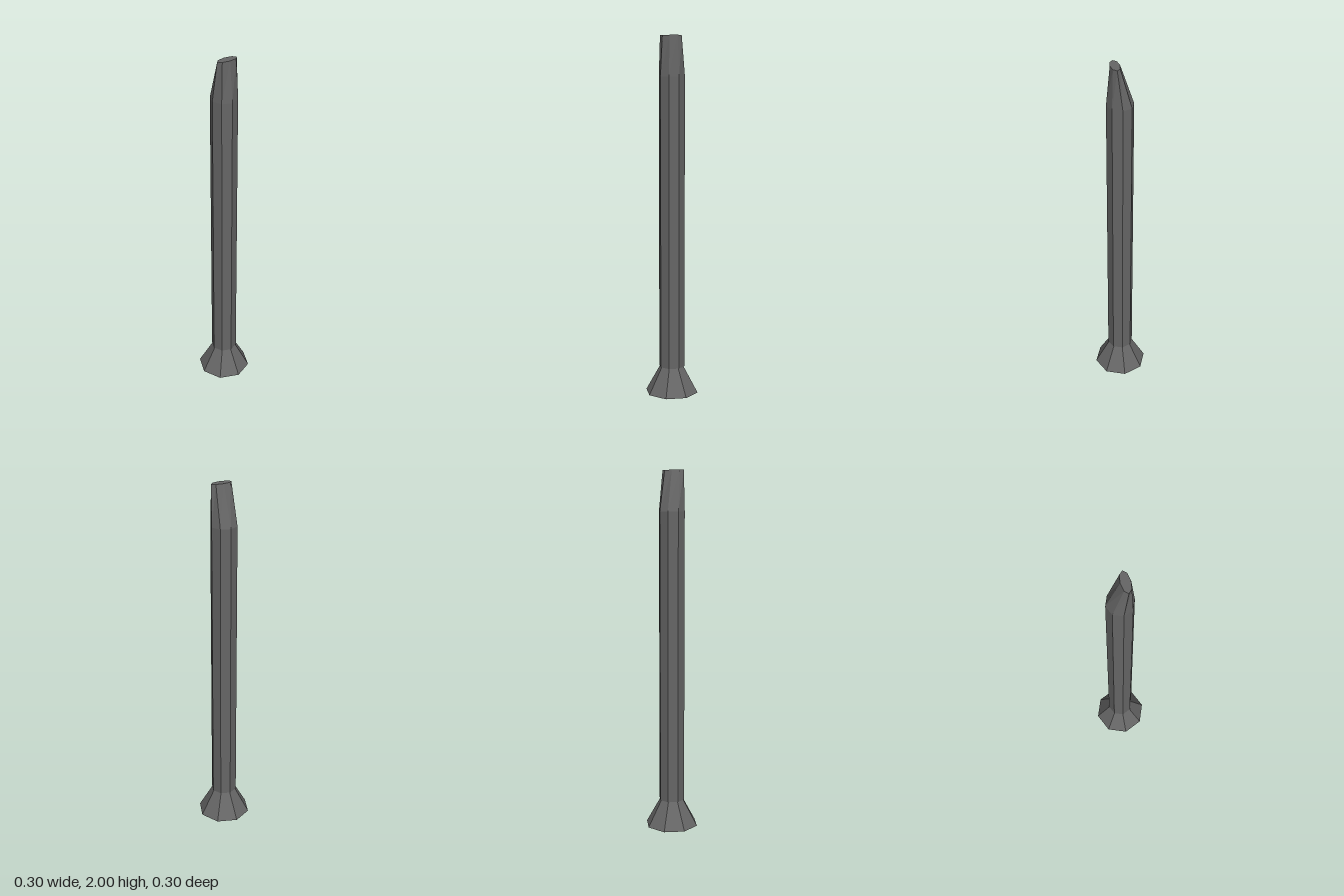
import * as THREE from 'three';

const SIDES = 8;

export function createModel() {
  const model = new THREE.Group();
  const steel = new THREE.MeshStandardMaterial({ color: 0x666666, flatShading: true });
  steel.name = 'dark grey steel';

  // Octagonal shaft: the top ring is squeezed and shifted forward into a chisel tip
  const bottom = 0.15, shoulder = 1.78, top = 2, radius = 0.073;
  const shaftGeo = new THREE.CylinderGeometry(radius, radius, 2, SIDES, 2);
  const pos = shaftGeo.attributes.position;
  for (let i = 0; i < pos.count; i++) {
    const row = Math.round(pos.getY(i)); // -1 bottom, 0 shoulder, 1 tip
    pos.setY(i, [bottom, shoulder, top][row + 1]);
    if (row === 1) {
      pos.setX(i, pos.getX(i) / radius * 0.06);
      pos.setZ(i, 0.026 + pos.getZ(i) / radius * 0.026);
    }
  }
  shaftGeo.computeVertexNormals();
  const shaft = new THREE.Mesh(shaftGeo, steel);
  shaft.name = 'shaft';

  // Flared foot with a hole through its underside
  const profile = [[0.055, 0.15], [0.055, 0], [0.15, 0], [0.067, 0.15], [0.055, 0.15]]
    .map(([r, y]) => new THREE.Vector2(r, y));
  const foot = new THREE.Mesh(new THREE.LatheGeometry(profile, SIDES), steel);
  foot.name = 'flaredFoot';

  model.add(shaft, foot);
  return model;
}
